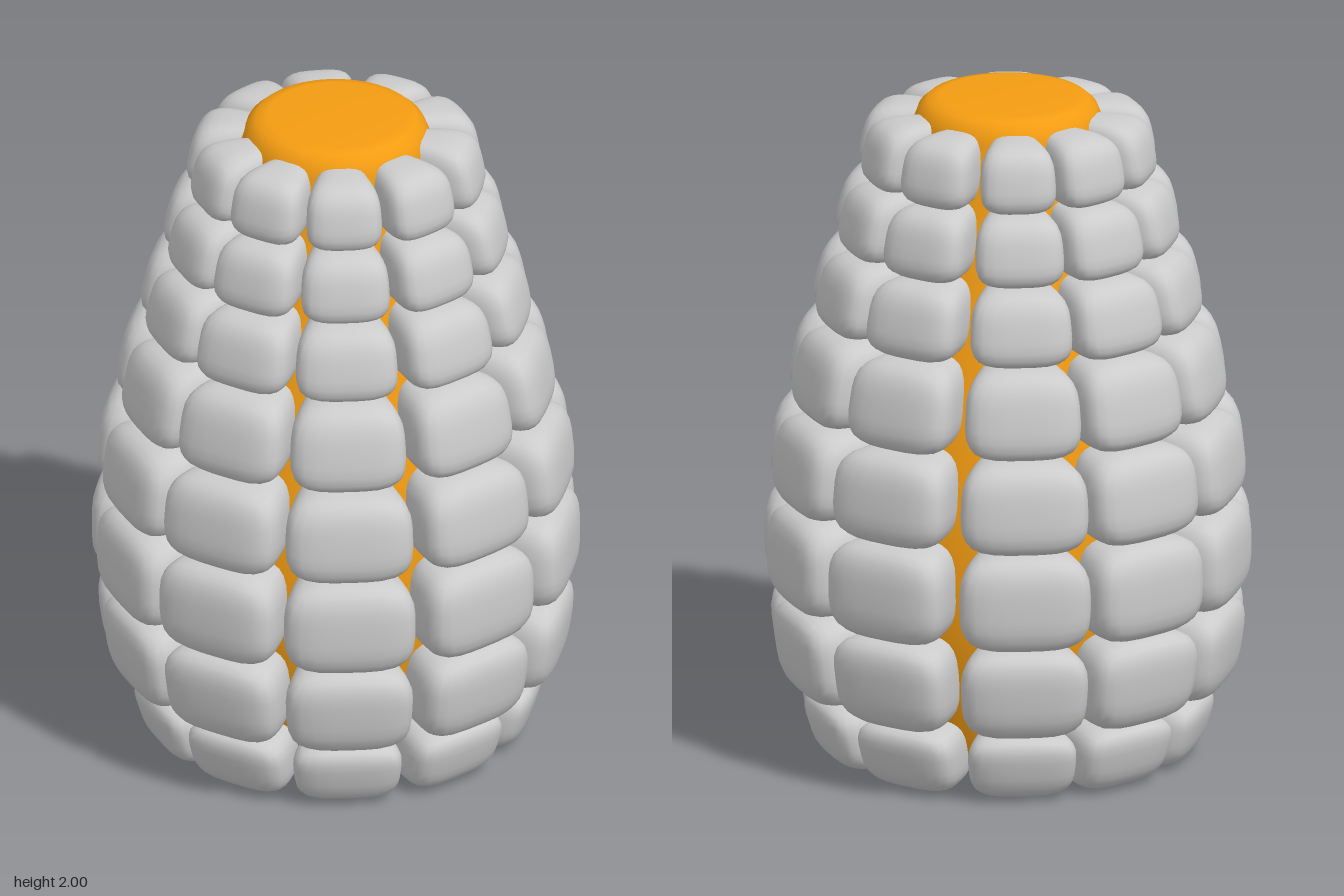
import * as THREE from 'three';
import { mergeVertices } from 'three/addons/utils/BufferGeometryUtils.js';

// Rows of kernels: bottom, top, outer radius, outward lean per unit of height
const ROWS = [
  [0.0, 0.21, 0.59, 0.3],
  [0.21, 0.495, 0.685, 0.14],
  [0.49, 0.79, 0.71, 0.0],
  [0.785, 1.065, 0.69, -0.1],
  [1.06, 1.33, 0.63, -0.18],
  [1.325, 1.555, 0.56, -0.22],
  [1.55, 1.765, 0.495, -0.22],
  [1.755, 1.96, 0.43, -0.2],
];

// Column directions in degrees, from +x towards +z
const COLUMNS = [0, 37, 73, 107, 142, 177, 212, 250, 286, 322];

const DEPTH = 0.14; // half the radial depth of a kernel
const SPREAD = 0.31; // half width of a kernel per unit of radius
const POWER = 3.5; // boxiness of the rounded kernel

// A rounded wedge, wider on the outside, leaning with the cob's outline
function kernelGeometry(bottom, top, outer, lean) {
  let geo = new THREE.BoxGeometry(2, 2, 2, 8, 8, 8);
  geo.deleteAttribute('normal');
  geo.deleteAttribute('uv');
  geo = mergeVertices(geo);
  const pos = geo.attributes.position;
  const halfHeight = (top - bottom) / 2;
  const v = new THREE.Vector3();
  for (let i = 0; i < pos.count; i++) {
    v.fromBufferAttribute(pos, i);
    const sum = [v.x, v.y, v.z].reduce((s, c) => s + Math.abs(c) ** POWER, 0);
    v.multiplyScalar(sum ** (-1 / POWER));
    const y = v.y * halfHeight;
    const radius = outer - DEPTH + v.z * DEPTH + y * lean;
    pos.setXYZ(i, v.x * SPREAD * radius, y, radius);
  }
  geo.computeVertexNormals();
  return geo;
}

export function createModel() {
  const model = new THREE.Group();
  const kernelMaterial = new THREE.MeshStandardMaterial({ color: 0xcccccc });
  const cobMaterial = new THREE.MeshStandardMaterial({ color: 0xf39c12 });

  // Core with a rounded top rim
  const profile = [
    [0, 0.02], [0.34, 0.02], [0.39, 0.05], [0.43, 0.15], [0.51, 0.4],
    [0.54, 0.65], [0.52, 0.9], [0.46, 1.2], [0.39, 1.45], [0.33, 1.66],
    [0.287, 1.85], [0.278, 1.93], [0.26, 1.97], [0.235, 1.992], [0.2, 2], [0, 2],
  ].map(([r, y]) => new THREE.Vector2(r, y));
  const cob = new THREE.Mesh(new THREE.LatheGeometry(profile, 40), cobMaterial);
  cob.name = 'cob';
  model.add(cob);

  // Rings of kernels
  ROWS.forEach(([bottom, top, outer, lean], i) => {
    const row = new THREE.Group();
    row.name = `kernelRow${i + 1}`;
    row.position.y = (bottom + top) / 2;
    const geo = kernelGeometry(bottom, top, outer, lean);
    for (const angle of COLUMNS) {
      const kernel = new THREE.Mesh(geo, kernelMaterial);
      kernel.name = 'kernel';
      kernel.rotation.y = THREE.MathUtils.degToRad(90 - angle);
      row.add(kernel);
    }
    model.add(row);
  });

  return model;
}
